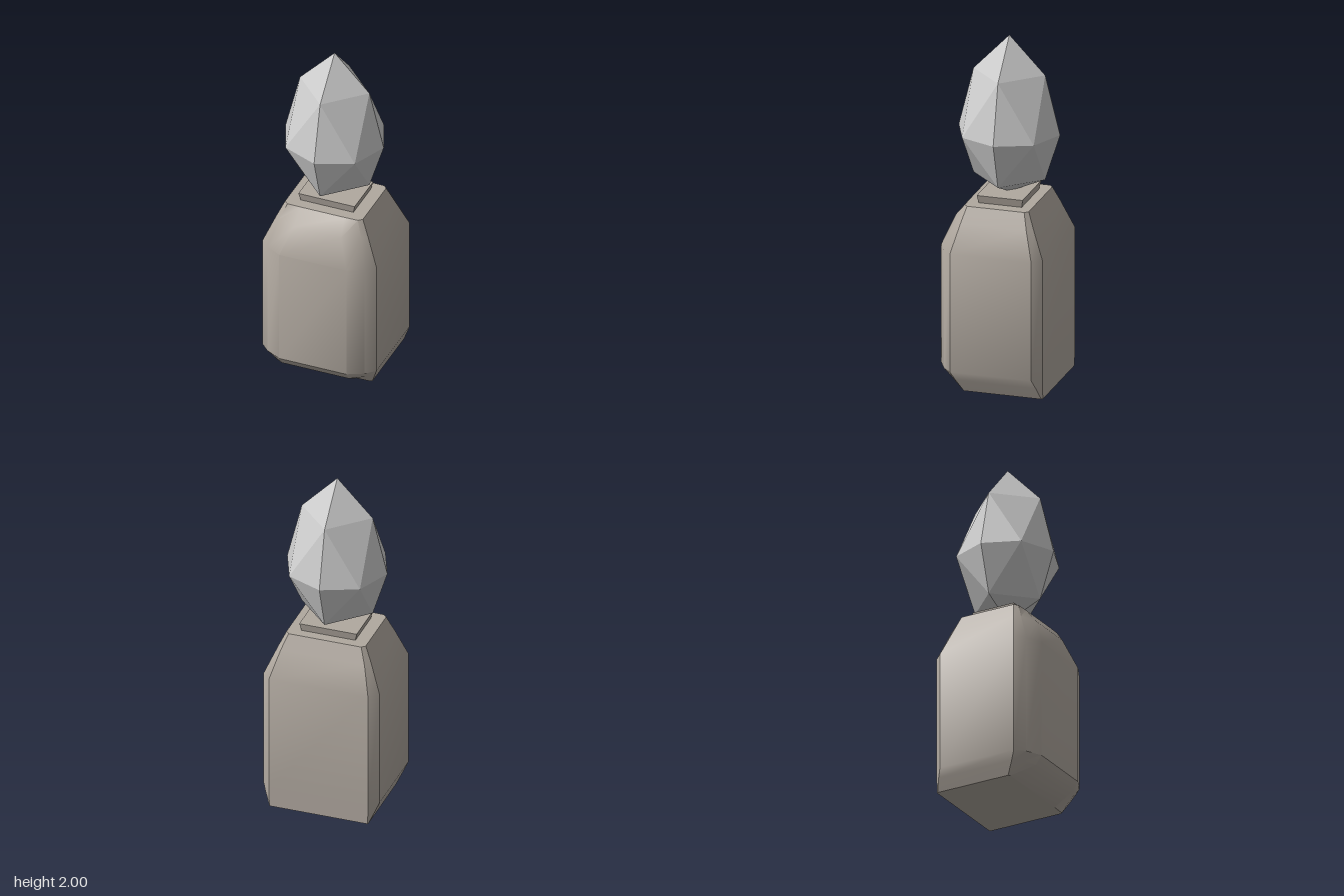
import * as THREE from 'three';
import { toCreasedNormals } from 'three/addons/utils/BufferGeometryUtils.js';

const stone = new THREE.MeshStandardMaterial({ color: 0xb0a89f });
const glass = new THREE.MeshStandardMaterial({ color: 0xcccccc, flatShading: true });

// Skins a stack of mirrored outlines. Each level is { y, half }, where half lists
// [x, z] down the +x side from front to back.
function loft(levels) {
  const n = levels[0].half.length * 2;
  const pos = [], index = [];
  for (const { y, half } of levels) {
    const ring = [...half, ...half.map(([x, z]) => [-x, z]).reverse()];
    for (const [x, z] of ring) pos.push(x, y, z);
  }
  for (let r = 0; r < levels.length - 1; r++) {
    for (let i = 0; i < n; i++) {
      const a = r * n + i, b = r * n + (i + 1) % n;
      index.push(a, b, b + n, a, b + n, a + n);
    }
  }
  const top = (levels.length - 1) * n;
  for (let i = 1; i < n - 1; i++) {
    index.push(0, i + 1, i, top, top + i, top + i + 1);
  }
  const geo = new THREE.BufferGeometry();
  geo.setAttribute('position', new THREE.Float32BufferAttribute(pos, 3));
  geo.setIndex(index);
  return toCreasedNormals(geo, 0.6);
}

export function createModel() {
  const group = new THREE.Group();
  const add = (name, geo, material) => {
    const mesh = new THREE.Mesh(geo, material);
    mesh.name = name;
    group.add(mesh);
    return mesh;
  };

  // Bottle: raised front panel, chamfered corners, sloping shoulders.
  // Outline order: panel edge, front corner, side front, side back, back corner
  const full = [[0.2, 0.31], [0.29, 0.265], [0.34, 0.215], [0.34, -0.255], [0.29, -0.305]];
  add('bottle', loft([
    { y: 0, half: [[0.2, 0.16], [0.28, 0.158], [0.29, 0.15], [0.29, -0.298], [0.285, -0.305]] },
    { y: 0.07, half: [[0.2, 0.275], [0.275, 0.225], [0.32, 0.19], [0.32, -0.275], [0.29, -0.305]] },
    { y: 0.12, half: full },
    { y: 0.81, half: full },
    { y: 0.97, half: [[0.14, 0.245], [0.245, 0.205], [0.273, 0.175], [0.273, -0.205], [0.245, -0.238]] },
    { y: 1.06, half: [[0.13, 0.172], [0.21, 0.17], [0.232, 0.15], [0.232, -0.18], [0.212, -0.2]] },
  ]), stone);

  // Neck plate, flaring slightly upward
  add('neck', loft([
    { y: 1.05, half: [[0.155, 0.105], [0.155, -0.14]] },
    { y: 1.105, half: [[0.168, 0.115], [0.168, -0.15]] },
  ]), stone);

  // Faceted stopper: subdivided octahedron drawn out into a pointed drop
  const gem = new THREE.OctahedronGeometry(1, 1);
  const p = gem.attributes.position;
  for (let i = 0; i < p.count; i++) {
    const y = p.getY(i);
    const tip = Math.abs(y) > 0.9;
    const height = y > 0.1 ? (tip ? 0.555 : 0.34) : y < -0.1 ? (tip ? -0.36 : -0.27) : 0;
    p.setXYZ(i, p.getX(i) * 0.293, height, p.getZ(i) * 0.293);
  }
  gem.computeVertexNormals();
  add('stopper', gem, glass).position.set(-0.007, 1.445, -0.018);

  return group;
}
